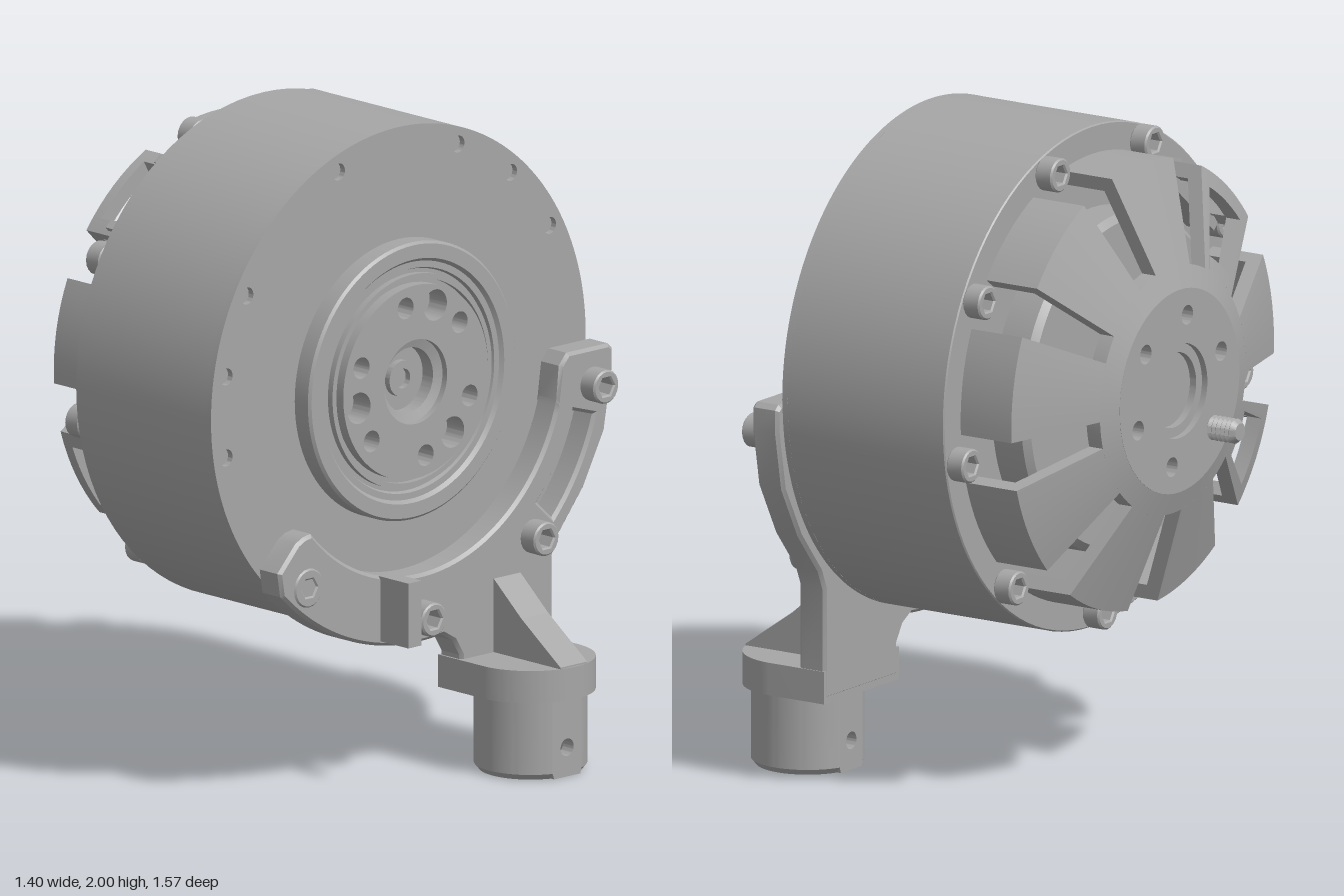
import * as THREE from 'three';
import { toCreasedNormals } from 'three/addons/utils/BufferGeometryUtils.js';

const metal = new THREE.MeshStandardMaterial({ color: 0xa6a6a6 });
metal.name = 'grey metal';
const RAD = Math.PI / 180, TAU = Math.PI * 2;

function add(parent, name, geometry, x = 0, y = 0, z = 0) {
  const mesh = new THREE.Mesh(geometry, metal);
  mesh.name = name;
  mesh.position.set(x, y, z);
  parent.add(mesh);
  return mesh;
}

// Sweep a closed (x, radius) profile around the x axis; angle 0 is up, 90 degrees is +z
function revolve(points, a0 = 0, a1 = TAU) {
  const shape = new THREE.Shape(points.map(([x, r]) => new THREE.Vector2(x, r)));
  const steps = Math.max(3, Math.ceil((a1 - a0) / TAU * 96));
  const geo = new THREE.ExtrudeGeometry(shape, { depth: a1 - a0, steps, bevelEnabled: false });
  const p = geo.attributes.position;
  for (let i = 0; i < p.count; i++) {
    const r = p.getY(i), a = p.getZ(i) + a0;
    p.setXYZ(i, p.getX(i), r * Math.cos(a), r * Math.sin(a));
  }
  return toCreasedNormals(geo, 0.45);
}

// Extrude a shape drawn as (-z, y) along x
function plate(shape, x0, x1, bevel = 0, curveSegments = 32) {
  const geo = new THREE.ExtrudeGeometry(shape, {
    depth: x1 - x0 - 2 * bevel, curveSegments, bevelEnabled: bevel > 0,
    bevelThickness: bevel, bevelSize: bevel, bevelOffset: -bevel, bevelSegments: 1,
  });
  geo.rotateY(Math.PI / 2).translate(x0 + bevel, 0, 0);
  return toCreasedNormals(geo, 0.45);
}

const circle = (r, u = 0, v = 0) => new THREE.Shape().absarc(u, v, r, 0, TAU, false);
const polar = (r, deg) => [r * Math.cos(deg * RAD), r * Math.sin(deg * RAD)];

// Cap screw head with a hexagon socket
function screw(parent, name, x0, x1, deg, r = 0.052) {
  const shape = circle(r);
  shape.holes.push(new THREE.Path(Array.from({ length: 6 }, (_, i) => new THREE.Vector2(...polar(0.03, i * 60)))));
  const [y, z] = polar(0.72, deg);
  add(parent, name, plate(shape, x0, x1, 0.005, 10), 0, y, z);
}

function buildHousing(motor) {
  add(motor, 'drum', revolve([[-0.285, 0], [-0.285, 0.768], [-0.281, 0.772], [0.285, 0.772], [0.285, 0]]));
  const face = circle(0.772);
  for (const a of [20, 60, 80, 100, -20, -40, -60]) {
    const [v, w] = polar(0.72, a);
    face.holes.push(circle(0.026, -w, v));
  }
  add(motor, 'drumFace', plate(face, 0.285, 0.305, 0, 96));

  // Stepped flange around the output disc
  add(motor, 'flange', revolve([[0.3, 0.29], [0.3, 0.427], [0.362, 0.427], [0.37, 0.419], [0.37, 0.375],
    [0.358, 0.365], [0.358, 0.345], [0.345, 0.34], [0.345, 0.29]]));
  add(motor, 'flangeLip', revolve([[0.34, 0.312], [0.34, 0.328], [0.365, 0.328], [0.365, 0.312]]));
  const disc = circle(0.298);
  disc.holes.push(circle(0.13));
  for (const a of [40, 100, 160, 220, 280, 340]) disc.holes.push(circle(0.033, ...polar(0.237, a)));
  for (const a of [70, 190, 310]) disc.holes.push(circle(0.048, ...polar(0.237, a)));
  add(motor, 'outputDisc', plate(disc, 0.3, 0.38));
  add(motor, 'boreStep', revolve([[0.3, 0.1], [0.3, 0.131], [0.36, 0.131], [0.35, 0.1]]));
  add(motor, 'boreCentre', revolve([[0.3, 0.03], [0.3, 0.055], [0.325, 0.055], [0.325, 0.03]]));
}

function buildCover(motor) {
  const cover = new THREE.Group();
  cover.name = 'rearCover';
  motor.add(cover);

  // Hub with a closed bore and a ring of bolt holes
  const hub = circle(0.312);
  hub.holes.push(circle(0.145));
  for (let i = 0; i < 6; i++) {
    const [v, w] = polar(0.23, 130 + i * 60);
    hub.holes.push(circle(0.03, -w, v));
  }
  add(cover, 'hubPlate', plate(hub, -0.605, -0.555));
  add(cover, 'hubFloor', revolve([[-0.562, 0], [-0.562, 0.3], [-0.548, 0.3], [-0.548, 0]]));
  add(cover, 'boreRing', revolve([[-0.585, 0.115], [-0.585, 0.146], [-0.56, 0.146], [-0.56, 0.115]]));
  add(cover, 'hubCone', revolve([[-0.605, 0.31], [-0.58, 0.38], [-0.53, 0.38], [-0.555, 0.31]]));

  // Nine sloping panels between the screw slots; some are open frames
  const leg = [[-0.58, 0.38], [-0.47, 0.685], [-0.285, 0.685], [-0.285, 0.64], [-0.435, 0.64], [-0.53, 0.38]];
  const inner = [[-0.58, 0.38], [-0.564, 0.425], [-0.514, 0.425], [-0.53, 0.38]];
  const outer = [[-0.488, 0.635], [-0.47, 0.685], [-0.435, 0.685], [-0.435, 0.635]];
  const half = 13.5, rail = 4;
  for (let i = 0; i < 9; i++) {
    const a = i * 40;
    const sector = (name, profile, from, to) => add(cover, name, revolve(profile, (a + from) * RAD, (a + to) * RAD));
    if (a === 40 || a === 120) {
      sector('frameRail', leg, -half, -half + rail);
      sector('frameRail', leg, half - rail, half);
      sector('frameInner', inner, -half + rail, half - rail);
      sector('frameOuter', outer, -half + rail, half - rail);
    } else sector('coverPanel', leg, -half, half);
    screw(motor, 'rearScrew', -0.345, -0.284, a + 20);
  }
  add(motor, 'stator', revolve([[-0.4, 0.12], [-0.41, 0.13], [-0.41, 0.5], [-0.39, 0.52], [-0.28, 0.52], [-0.28, 0.12]]));

  // Threaded stud on the hub
  const thread = [[-0.55, 0], [-0.55, 0.03]];
  for (let x = -0.6; x > -0.695; x -= 0.016) thread.push([x, 0.028], [x - 0.008, 0.038]);
  thread.push([-0.703, 0.026], [-0.703, 0]);
  const [sy, sz] = polar(0.23, 130);
  add(motor, 'stud', revolve(thread), 0, sy, sz);

  // Connector socket behind the open frame
  const connector = new THREE.Group();
  connector.name = 'connector';
  connector.rotation.x = 40 * RAD;
  motor.add(connector);
  const box = (name, w, h, d, x, y, z) => add(connector, name, new THREE.BoxGeometry(w, h, d), x, y, z);
  box('connectorBase', 0.105, 0.03, 0.29, -0.333, 0.61, 0);
  for (const s of [-1, 1]) {
    box('connectorEnd', 0.105, 0.07, 0.03, -0.333, 0.65, s * 0.13);
    box('connectorPost', 0.07, 0.06, 0.025, -0.33, 0.645, s * 0.055);
  }
  box('connectorBack', 0.02, 0.07, 0.26, -0.295, 0.65, 0);
  box('connectorPin', 0.05, 0.05, 0.04, -0.345, 0.64, 0);
}

function buildBracket(motor) {
  // Curved bracket hugging the lower edge of the drum
  const s = new THREE.Shape();
  s.moveTo(0.58, -0.05);
  s.lineTo(0.57, -0.153);
  s.absarc(0, 0, 0.59, -0.262, -2.42, true);
  for (const p of [[-0.475, -0.395], [-0.505, -0.41], [-0.58, -0.49]]) s.lineTo(...p);
  s.absarc(0, 0, 0.8, -2.36, -1.45, false);
  for (const p of [[0.14, -0.82], [0.17, -0.87], [0.17, -0.97], [0.55, -0.97], [0.55, -0.63], [0.575, -0.57],
    [0.68, -0.44], [0.765, -0.28], [0.797, -0.1], [0.797, -0.03], [0.78, -0.015], [0.61, -0.015]]) s.lineTo(...p);
  s.closePath();
  const slot = new THREE.Path();
  slot.absarc(0, 0, 0.75, -0.3, -0.75, true);
  slot.absarc(0, 0, 0.665, -0.75, -0.3, false);
  slot.closePath();
  s.holes.push(slot);
  add(motor, 'bracket', plate(s, 0.304, 0.4, 0.01));
  for (const a of [-100, -140, 180]) screw(motor, 'bracketScrew', 0.398, 0.463, a);
  screw(motor, 'bracketFlushScrew', 0.398, 0.408, 140, 0.06);
}

function buildFoot(group) {
  const cx = 0.502, cz = -0.343;
  add(group, 'bracketRib', new THREE.BoxGeometry(0.13, 0.2, 0.055), 0.457, 0.56, 0.152);

  // Rounded collar
  const c = new THREE.Shape();
  c.moveTo(0.305, -0.195);
  c.lineTo(cx, -0.195);
  c.absarc(cx, 0, 0.195, -Math.PI / 2, Math.PI / 2, false);
  c.lineTo(0.305, 0.195);
  const collar = new THREE.ExtrudeGeometry(c, { depth: 0.1, bevelEnabled: false, curveSegments: 40 });
  collar.rotateX(-Math.PI / 2);
  add(group, 'collar', toCreasedNormals(collar, 0.45), 0, 0.245, cz);

  // Sloping gusset from bracket to collar
  const g = new THREE.Shape([[0.38, 0.34], [0.69, 0.34], [0.69, 0.35], [0.52, 0.47], [0.39, 0.58]]
    .map((p) => new THREE.Vector2(...p)));
  add(group, 'gusset', new THREE.ExtrudeGeometry(g, { depth: 0.11, bevelEnabled: false }), 0, 0, cz - 0.055);

  // Hollow socket with a cross hole through two small flats
  const gap = 0.36, wall = [[0, 0.155], [0.018, 0.17], [0.246, 0.17], [0.246, 0.12], [0, 0.12]];
  const flatHalf = 0.17 * Math.sin(gap), flatX = 0.17 * Math.cos(gap);
  const flat = new THREE.Shape([[-0.9, 0], [0.9, 0], [1, 0.018], [1, 0.246], [-1, 0.246], [-1, 0.018]]
    .map(([u, v]) => new THREE.Vector2(u * flatHalf, v)));
  flat.holes.push(circle(0.027, 0, 0.09));
  for (const side of [0, 1]) {
    const a = side * Math.PI;
    add(group, 'socketWall', revolve(wall, a + gap, a + Math.PI - gap).rotateZ(Math.PI / 2), cx, 0, cz);
    add(group, 'socketFlat', plate(flat, 0.113, flatX).rotateY(a), cx, 0, cz);
  }
}

export function createModel() {
  const group = new THREE.Group();
  group.name = 'actuator';
  const motor = new THREE.Group();
  motor.name = 'motor';
  motor.position.set(0, 1.228, 0.015);
  group.add(motor);
  buildHousing(motor);
  buildCover(motor);
  buildBracket(motor);
  buildFoot(group);
  return group;
}
